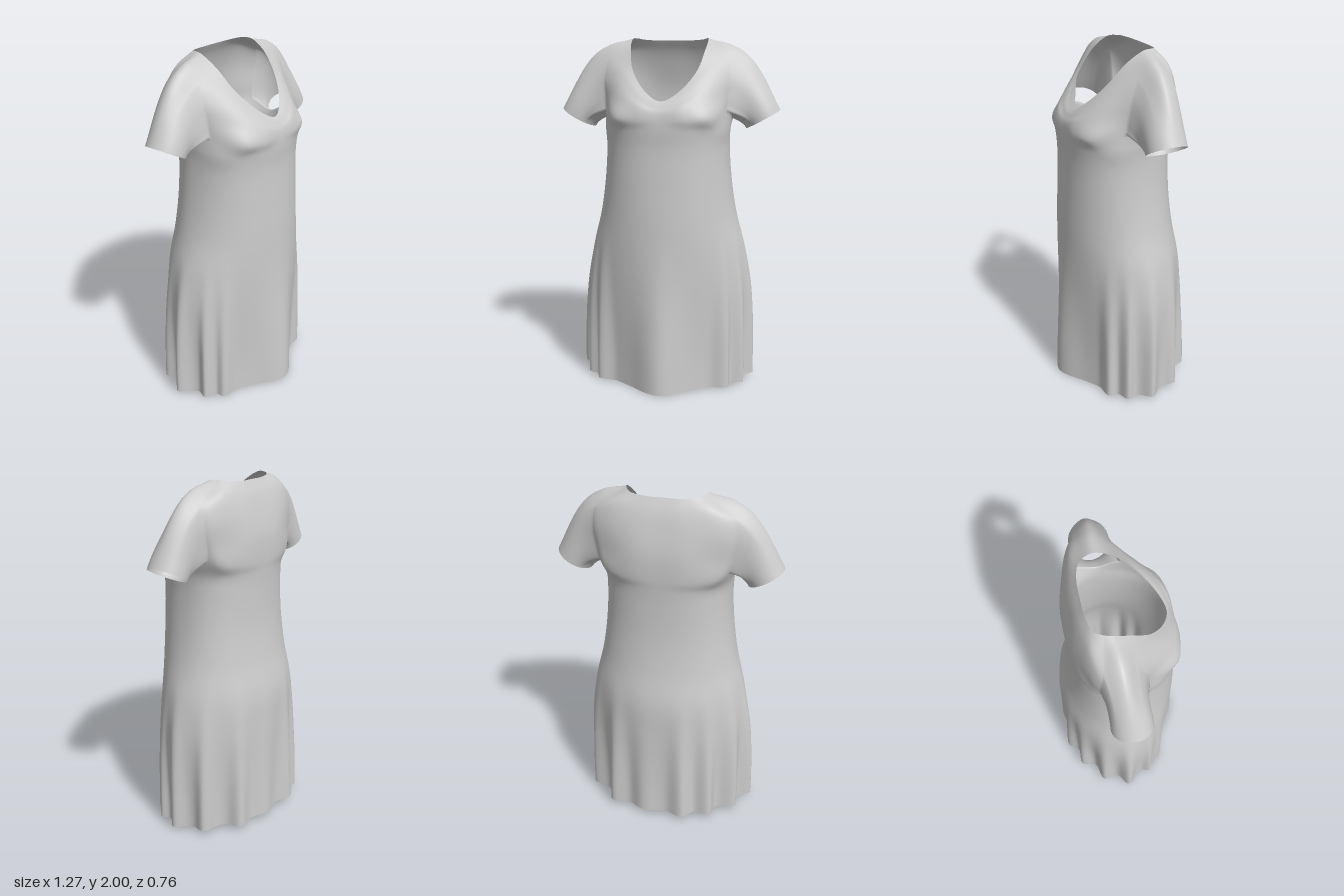
import * as THREE from 'three';

const COLS = 256, SUB = 6, SLEEVE_ROWS = 16;
const V = (x, y, z) => new THREE.Vector3(x, y, z);

// Skirt and waist sections: height, half width, front z, back z, front and back roundness
const SECTIONS = [
  [0, 0.500, 0.352, -0.376, 1.24, 1.10], [0.2, 0.500, 0.347, -0.369, 1.23, 1.09],
  [0.4, 0.498, 0.342, -0.362, 1.20, 1.07], [0.6, 0.486, 0.338, -0.356, 1.16, 1.04],
  [0.8, 0.452, 0.335, -0.344, 1.10, 1.00], [1.0, 0.400, 0.330, -0.302, 1.00, 0.94],
  [1.2, 0.368, 0.320, -0.275, 0.92, 0.90], [1.4, 0.353, 0.311, -0.268, 0.86, 0.88],
  [1.5, 0.357, 0.315, -0.270, 0.82, 0.87],
];

// Half loops of the bodice, from front centre round the side to back centre
const UPPER = [
  // bust and armpit
  [[0, 1.56, 0.313], [0.14, 1.56, 0.311], [0.267, 1.57, 0.262], [0.345, 1.60, 0.100], [0.368, 1.55, -0.03],
    [0.358, 1.60, -0.152], [0.29, 1.57, -0.217], [0.15, 1.56, -0.264], [0, 1.56, -0.273]],
  // upper bust, flaring into the sleeve
  [[0, 1.60, 0.305], [0.13, 1.63, 0.293], [0.25, 1.66, 0.222], [0.352, 1.68, 0.088], [0.41, 1.63, -0.03],
    [0.372, 1.68, -0.160], [0.29, 1.68, -0.215], [0.15, 1.70, -0.260], [0, 1.70, -0.267]],
  // mid armhole, flaring into the sleeve
  [[0, 1.625, 0.292], [0.135, 1.67, 0.262], [0.25, 1.755, 0.165], [0.36, 1.78, 0.068], [0.46, 1.84, -0.04],
    [0.388, 1.80, -0.158], [0.29, 1.82, -0.207], [0.15, 1.83, -0.235], [0, 1.83, -0.238]],
  // shoulder
  [[0, 1.645, 0.279], [0.12, 1.695, 0.243], [0.225, 1.80, 0.143], [0.338, 1.875, 0.035], [0.375, 1.95, -0.05],
    [0.37, 1.895, -0.140], [0.265, 1.925, -0.182], [0.13, 1.92, -0.205], [0, 1.92, -0.208]],
  // neckline
  [[0, 1.66, 0.265], [0.10, 1.715, 0.222], [0.18, 1.82, 0.135], [0.212, 1.93, 0.04], [0.22, 1.99, -0.05],
    [0.205, 1.997, -0.11], [0.17, 1.99, -0.15], [0.09, 1.985, -0.170], [0, 1.985, -0.172]],
];

// Pleats: angle from the front in degrees, width, strength
const PLEATS = [
  [0, 24, 1], [60, 6, 0.9], [74, 4.5, 0.9], [91, 5, 0.7], [112, 6, 0.9], [139, 8, 1],
  [167, 12, 0.45], [204, 9, 0.9], [226, 7, 1], [248, 6, 1], [267, 5, 1], [286, 4.5, 0.9], [299, 6, 0.9],
];

const pow = (v, e) => Math.sign(v) * Math.abs(v) ** e;

function sectionPoint([y, w, front, back, frontPow, backPow], a) {
  const c = Math.cos(a), e = c > 0 ? frontPow : backPow;
  const lift = 0.035 * (1 - c) / 2 * Math.max(0, 1 - y / 0.6);
  return V(w * pow(Math.sin(a), e), y + lift, (c > 0 ? front : -back) * pow(c, e));
}

function loopFromHalf(half) {
  const left = half.map(p => V(...p));
  const right = left.slice(1, -1).reverse().map(p => V(-p.x, p.y, p.z));
  return new THREE.CatmullRomCurve3([...left, ...right], true, 'catmullrom', 0.5);
}

// Pushes the cloth in and out, more strongly towards the hem
function pleat(p) {
  const fade = 1 - THREE.MathUtils.smoothstep(p.y, 0.05, 0.95);
  if (fade <= 0) return p;
  const deg = THREE.MathUtils.radToDeg(Math.atan2(p.x, p.z));
  let sum = 0;
  for (const [at, width, strength] of PLEATS) {
    const d = ((deg - at + 900) % 360) - 180;
    sum += strength * Math.exp(-((d / width) ** 2));
  }
  const push = fade * (0.062 * Math.min(sum, 1.1) - 0.028);
  const r = Math.hypot(p.x, p.z);
  p.x += p.x / r * push;
  p.z += p.z / r * push;
  return p;
}

export function createModel() {
  const points = [];
  const faces = { skirt: [], bodice: [], leftSleeve: [], rightSleeve: [] };
  const quad = (list, a, b, c, d) => list.push(a, b, d, a, d, c);

  // Body grid: one lengthwise curve per column, from hem to neckline
  const loops = UPPER.map(loopFromHalf);
  const rows = (SECTIONS.length + UPPER.length - 1) * SUB;
  const id = (row, col) => row * COLS + (col + COLS) % COLS;
  for (let i = 0; i < COLS; i++) {
    const a = i / COLS * Math.PI * 2;
    const curve = new THREE.CatmullRomCurve3([
      ...SECTIONS.map(s => sectionPoint(s, a)),
      ...loops.map(l => l.getPoint(i / COLS)),
    ]);
    for (let j = 0; j <= rows; j++) points[id(j, i)] = pleat(curve.getPoint(j / rows));
  }

  // Armholes are left open in the grid
  const bottom = SECTIONS.length * SUB, top = bottom + 3 * SUB;
  const half = COLS / 16, sides = [COLS / 4, COLS * 3 / 4];
  const inArmhole = (j, i) => j >= bottom && j < top && sides.some(s => i >= s - half && i < s + half);
  for (let j = 0; j < rows; j++) {
    for (let i = 0; i < COLS; i++) {
      if (inArmhole(j, i)) continue;
      quad(j < 6 * SUB ? faces.skirt : faces.bodice, id(j, i), id(j, i + 1), id(j + 1, i), id(j + 1, i + 1));
    }
  }

  // Sleeves: lofted from the armhole edge to a tilted oval cuff
  sides.forEach((side, k) => {
    const s = k === 0 ? 1 : -1;
    const edge = [];
    for (let i = side - half; i < side + half; i++) edge.push(id(bottom, i));
    for (let j = bottom; j < top; j++) edge.push(id(j, side + half));
    for (let i = side + half; i > side - half; i--) edge.push(id(top, i));
    for (let j = top; j > bottom; j--) edge.push(id(j, side - half));

    const axis = V(0.48 * s, -0.87, 0);
    let previous = edge;
    const lofts = edge.map(e => {
      const p = points[e];
      const f = Math.atan2((p.y - 1.74) / 0.18, (p.z + 0.035) / 0.12);
      const cuff = V(s * (0.54 + 0.095 * Math.sin(f)), 1.547 + 0.0525 * Math.sin(f), -0.035 + 0.11 * Math.cos(f));
      const outward = V(0.9 * s, -0.38, -0.28 * Math.cos(f));
      const reach = p.distanceTo(cuff) * 0.33;
      return new THREE.CubicBezierCurve3(p, p.clone().addScaledVector(outward, reach),
        cuff.clone().addScaledVector(axis, -reach), cuff);
    });
    const list = k === 0 ? faces.leftSleeve : faces.rightSleeve;
    for (let j = 1; j <= SLEEVE_ROWS; j++) {
      const ring = lofts.map(l => points.push(l.getPoint(j / SLEEVE_ROWS)) - 1);
      ring.forEach((_, i) => {
        const n = (i + 1) % ring.length;
        quad(list, previous[i], previous[n], ring[i], ring[n]);
      });
      previous = ring;
    }
  });

  // Normals are shared by all parts so the seams stay smooth
  const whole = new THREE.BufferGeometry().setFromPoints(points);
  whole.setIndex(Object.values(faces).flat());
  whole.computeVertexNormals();

  const material = new THREE.MeshStandardMaterial({ color: 0xcccccc, side: THREE.DoubleSide });
  const group = new THREE.Group();
  group.name = 'dress';
  for (const [name, list] of Object.entries(faces)) {
    const mesh = new THREE.Mesh(whole.clone().setIndex(list).toNonIndexed(), material);
    mesh.name = name;
    group.add(mesh);
  }
  return group;
}
